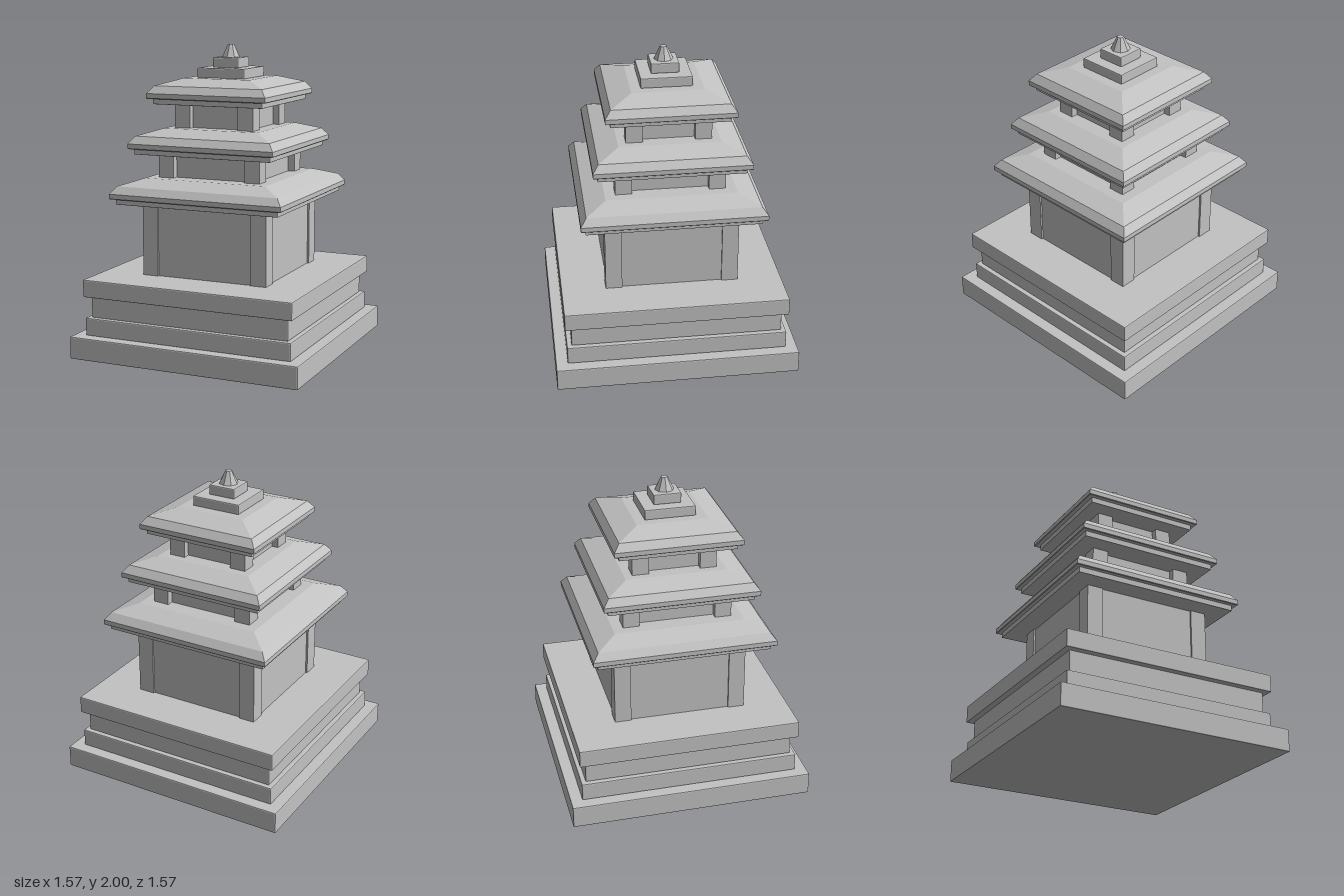
import * as THREE from 'three';
import { RoundedBoxGeometry } from 'three/addons/geometries/RoundedBoxGeometry.js';

export function createModel() {
  const model = new THREE.Group();
  model.name = 'stonePagoda';
  const stone = new THREE.MeshStandardMaterial({ color: 0xc2c2c2, flatShading: true });
  stone.name = 'grey stone';

  function add(name, geometry, parent = model) {
    const mesh = new THREE.Mesh(geometry, stone);
    mesh.name = name;
    parent.add(mesh);
    return mesh;
  }

  // Square slab with softened edges, given by half width and bottom / top heights
  function slab(name, half, y0, y1, parent, bevel = 0.007) {
    const geo = new RoundedBoxGeometry(half * 2, y1 - y0, half * 2, 1, bevel);
    return add(name, geo.translate(0, (y0 + y1) / 2, 0), parent);
  }

  // Four-sided solid from a profile of [half width, height], bottom to top
  function squareLathe(name, profile, parent) {
    const pts = profile.map(([h, y]) => new THREE.Vector2(h * Math.SQRT2, y));
    return add(name, new THREE.LatheGeometry(pts, 4).rotateY(Math.PI / 4), parent);
  }

  // Stepped base
  slab('groundSlab', 0.785, 0, 0.147);
  slab('lowerStep', 0.71, 0.145, 0.262);
  slab('pedestal', 0.68, 0.26, 0.402);
  slab('terrace', 0.72, 0.4, 0.515);

  // Storeys: walls, corner pillars, eave board and hipped roof
  const pillar = 0.107;
  const storeys = [
    { name: 'first', half: 0.432, recess: 0.012, y0: 0.512, eave: 0.99, roof: 0.59, board: 0.56, top: 0.42 },
    { name: 'second', half: 0.353, recess: 0.045, y0: 1.15, eave: 1.308, roof: 0.5, board: 0.47, top: 0.325 },
    { name: 'third', half: 0.273, recess: 0.045, y0: 1.468, eave: 1.626, roof: 0.41, board: 0.378, top: 0.23 },
  ];
  for (const s of storeys) {
    const storey = new THREE.Group();
    storey.name = s.name + 'Storey';
    model.add(storey);

    const height = s.eave - s.y0;
    const wall = (s.half - s.recess) * 2;
    add('walls', new THREE.BoxGeometry(wall, height, wall), storey).position.y = s.y0 + height / 2;
    const offset = s.half - pillar / 2;
    for (const x of [-1, 1]) for (const z of [-1, 1]) {
      const post = add('cornerPillar', new THREE.BoxGeometry(pillar, height, pillar), storey);
      post.position.set(x * offset, s.y0 + height / 2, z * offset);
    }

    slab('eaveBoard', s.board, s.eave, s.eave + 0.04, storey, 0.004);
    const y = s.eave;
    squareLathe('roof', [
      [0, y + 0.036], [s.roof - 0.004, y + 0.036], [s.roof, y + 0.04],
      [s.roof, y + 0.07], [s.roof - 0.037, y + 0.118],
      [s.top, y + 0.162], [0, y + 0.162],
    ], storey);
  }

  // Finial: two small blocks and a blunt faceted tip
  slab('finialBase', 0.165, 1.785, 1.852);
  slab('finialBlock', 0.09, 1.85, 1.917);
  add('finialTip', new THREE.CylinderGeometry(0.022, 0.063, 0.085, 8)).position.y = 1.9575;

  return model;
}
